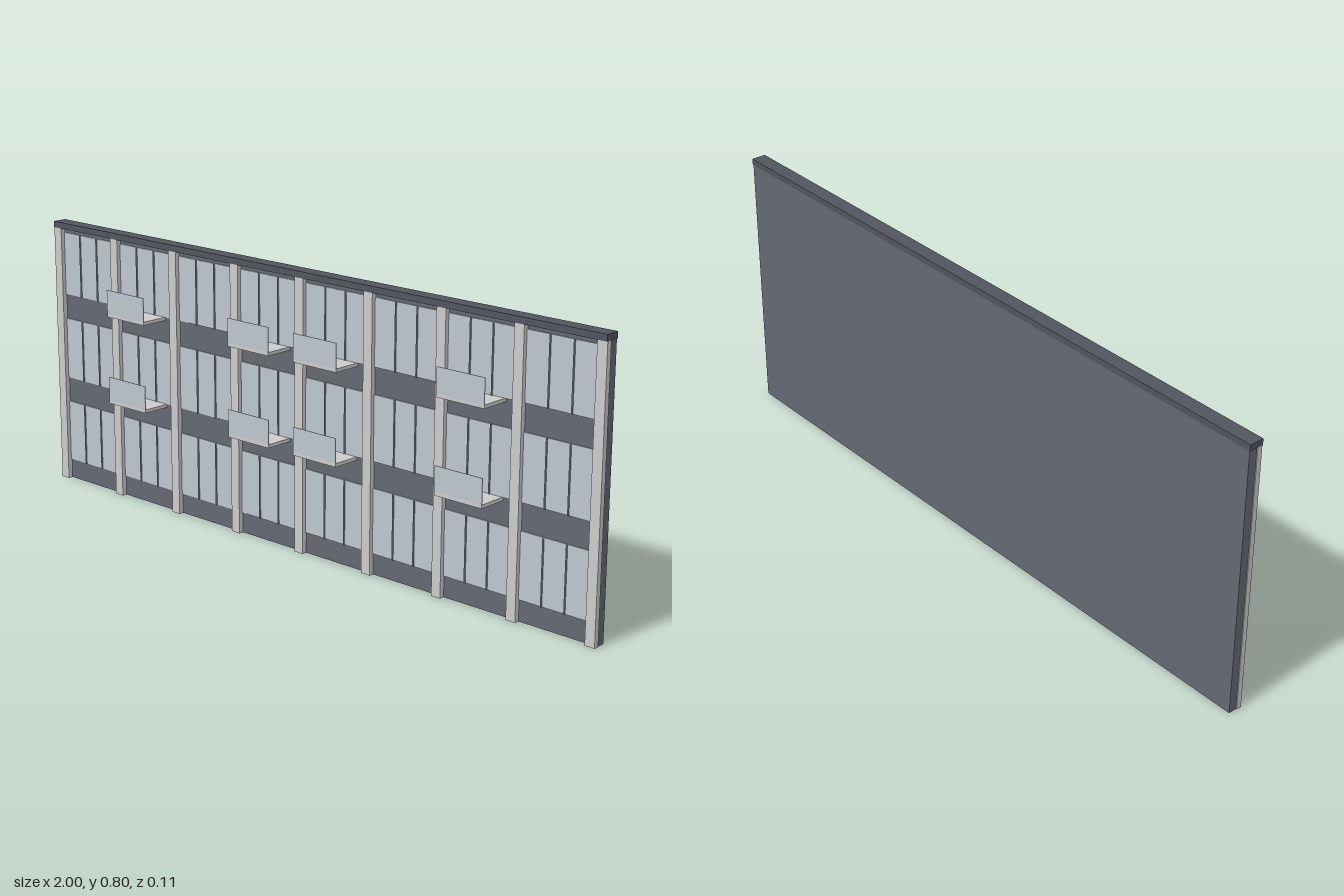
import * as THREE from 'three';

const paint = (color) => new THREE.MeshStandardMaterial({ color });
const grey = paint(0xcccccc);
const wallPaint = paint(0x636973);
const capPaint = paint(0x50555e);
const glass = paint(0xbcc6cf);
const mullionPaint = paint(0x9aa4ae);

// Box given by its lower and upper limits on each axis
function block(parent, name, material, [x0, x1], [y0, y1], [z0, z1]) {
  const mesh = new THREE.Mesh(new THREE.BoxGeometry(x1 - x0, y1 - y0, z1 - z0), material);
  mesh.position.set((x0 + x1) / 2, (y0 + y1) / 2, (z0 + z1) / 2);
  mesh.name = name;
  parent.add(mesh);
  return mesh;
}

export function createModel() {
  const model = new THREE.Group();
  model.name = 'facade';

  const bays = 7 + 1;
  const pitch = 1.97 / bays;
  const pilasterX = (i) => -0.985 + i * pitch;
  const wallFront = -0.03;

  // Backing wall and roof cap
  block(model, 'wall', wallPaint, [-0.998, 0.998], [0, 0.782], [-0.055, wallFront]);
  block(model, 'roofCap', capPaint, [-1, 1], [0.782, 0.8], [-0.056, -0.013]);

  // Pilasters between the bays
  for (let i = 0; i <= bays; i++) {
    const x = pilasterX(i);
    block(model, 'pilaster', grey, [x - 0.015, x + 0.015], [0, 0.782], [wallFront, -0.015]);
  }

  // Three storeys of windows, each split into three panes by thin mullions
  const storeys = [[0.06, 0.245], [0.32, 0.505], [0.58, 0.768]];
  for (let i = 0; i < bays; i++) {
    const x0 = pilasterX(i) + 0.015;
    const x1 = pilasterX(i + 1) - 0.015;
    for (const storey of storeys) {
      block(model, 'window', glass, [x0, x1], storey, [wallFront, -0.027]);
      for (let k = 1; k < 3; k++) {
        const x = x0 + ((x1 - x0) * k) / 3;
        block(model, 'mullion', mullionPaint, [x - 0.0015, x + 0.0015], storey, [wallFront, -0.023]);
      }
    }
  }

  // Balconies with a slab floor and a glass front panel
  for (const bay of [1, 3, 4, 6]) {
    const x = pilasterX(bay) + pitch / 2;
    const span = [x - 0.077, x + 0.077];
    for (const floor of [0.31, 0.57]) {
      const balcony = new THREE.Group();
      balcony.name = 'balcony';
      block(balcony, 'balconySlab', grey, span, [floor, floor + 0.01], [wallFront, 0.056]);
      block(balcony, 'balconyPanel', glass, span, [floor + 0.01, floor + 0.08], [0.054, 0.056]);
      model.add(balcony);
    }
  }
  return model;
}
